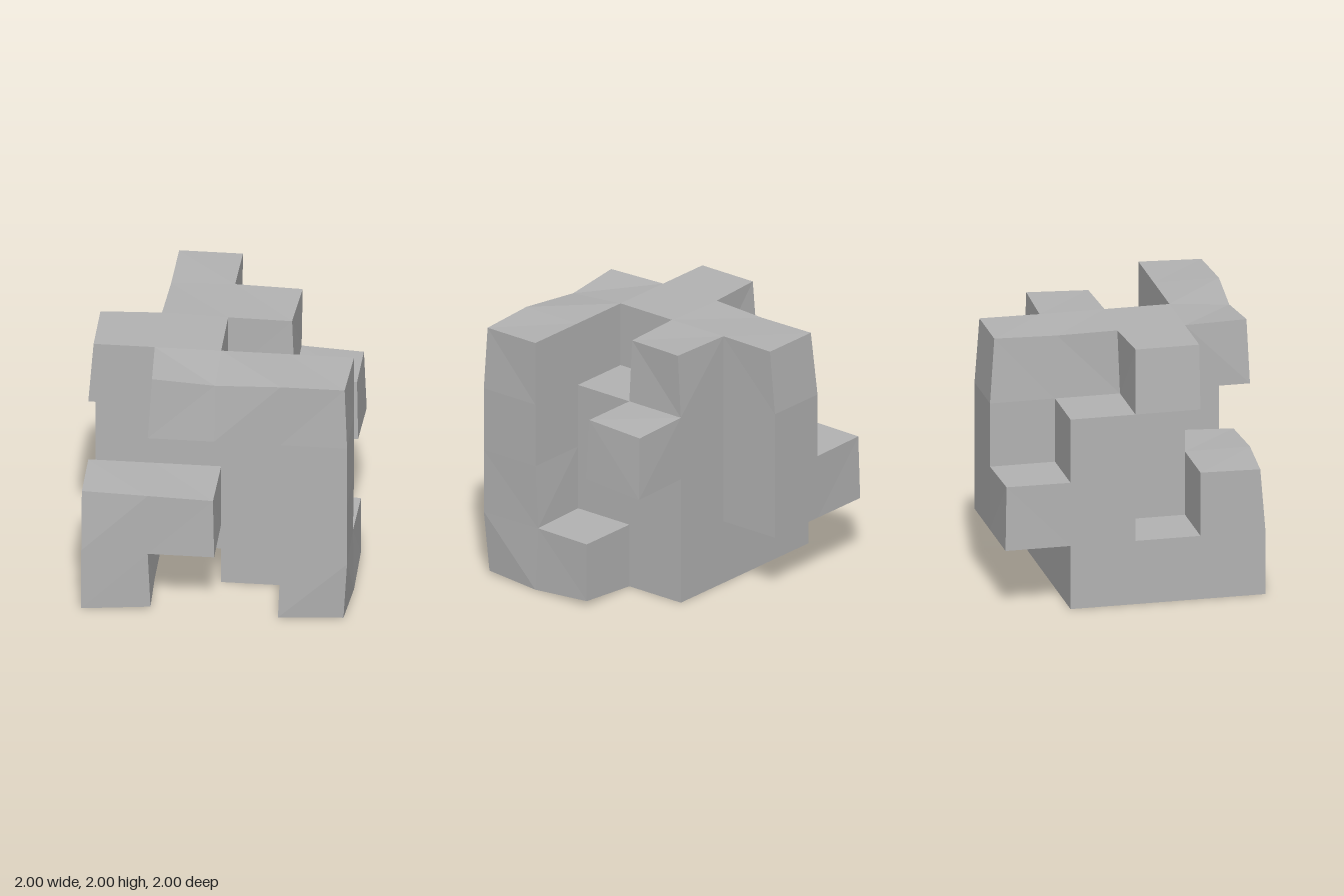
import * as THREE from 'three';

// Solid cells of a 4x4x4 lattice: layers from bottom to top,
// rows from back to front, characters along +x.
const LAYERS = [
  ['....', '###.', '#.##', '#..#'],
  ['##..', '###.', '.##.', '##.#'],
  ['.#..', '####', '.##.', '...#'],
  ['.#..', '.##.', '##..', '.###'],
];

// Hand-worn corners: lattice point (x y z) -> offset in hundredths
const NUDGES = {
  '144': [3, 0, -2], '244': [0, -4, -4], '444': [-2, -1, -2],
  '104': [2, 4, -1], '304': [-2, 1, 0], '404': [-3, 2, -3], '402': [0, 4, 0],
  '224': [-1, -2, -1], '024': [0, -1, -4],
  '043': [4, 0, 0], '042': [4, 0, 1], '142': [0, 0, -2], '342': [-2, -1, -1],
  '141': [2, -1, 2], '341': [1, 0, 2], '140': [3, 0, 4], '240': [1, 0, 4],
  '431': [-3, -2, 1], '432': [-3, 0, 0], '422': [-2, 2, 2], '421': [-1, -1, 0],
  '413': [-1, 0, -2], '020': [1, 0, 1],
};

const solid = ([x, y, z]) => LAYERS[y]?.[z]?.[x] === '#';

// Lattice point to position, slightly irregular
function corner(p) {
  const nudge = NUDGES[p.join('')] ?? [0, 0, 0];
  return [p[0] * 0.5 - 1, p[1] * 0.5, p[2] * 0.5 - 1].map((c, i) => c + nudge[i] / 100);
}

// Outer skin: one quad wherever a solid cell meets an empty one
function skin() {
  const positions = [];
  const addFace = (cell, axis, sign) => {
    const u = (axis + 1) % 3, v = (axis + 2) % 3;
    const quad = [[0, 0], [1, 0], [1, 1], [0, 1]].map(([a, b]) => {
      const p = [...cell];
      p[axis] += sign > 0 ? 1 : 0;
      p[u] += a;
      p[v] += b;
      return corner(p);
    });
    if (sign < 0) quad.reverse();
    for (const i of [0, 1, 2, 0, 2, 3]) positions.push(...quad[i]);
  };
  for (let y = 0; y < 4; y++) for (let z = 0; z < 4; z++) for (let x = 0; x < 4; x++) {
    const cell = [x, y, z];
    if (!solid(cell)) continue;
    for (let axis = 0; axis < 3; axis++) for (const sign of [-1, 1]) {
      const next = [...cell];
      next[axis] += sign;
      if (!solid(next)) addFace(cell, axis, sign);
    }
  }
  const geometry = new THREE.BufferGeometry();
  geometry.setAttribute('position', new THREE.Float32BufferAttribute(positions, 3));
  geometry.computeVertexNormals();
  return geometry;
}

export function createModel() {
  const group = new THREE.Group();
  group.name = 'blockSculpture';
  const grey = new THREE.MeshStandardMaterial({ color: 0xb3b3b3 });
  grey.name = 'grey';
  grey.flatShading = true;
  const body = new THREE.Mesh(skin(), grey);
  body.name = 'interlockedBlocks';
  group.add(body);
  return group;
}
